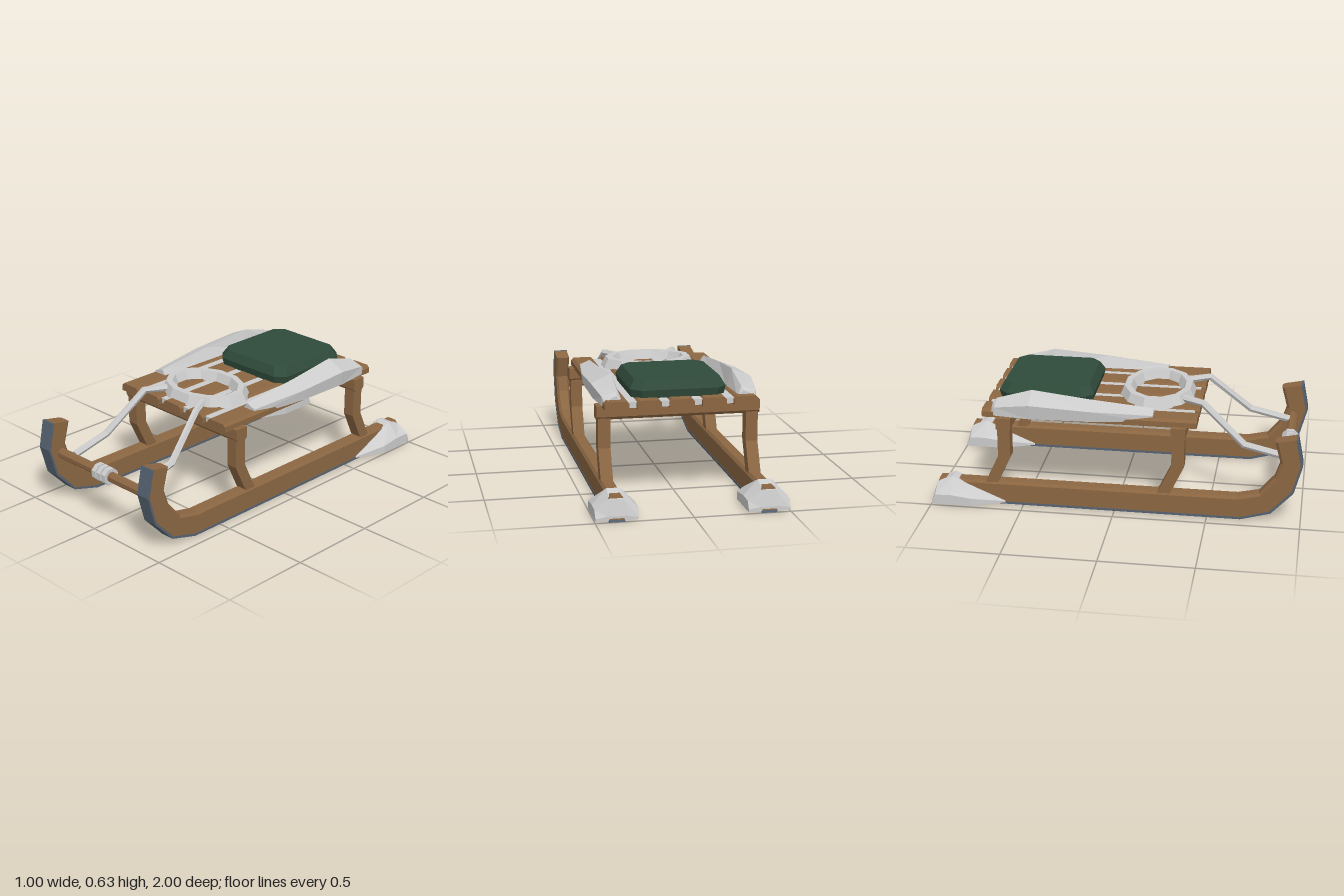
import * as THREE from 'three';

const mat = (color) => new THREE.MeshStandardMaterial({ color, flatShading: true });
const V = (x, y, z) => new THREE.Vector3(x, y, z);

// Skin a row of equal-length cross-sections; ends are capped unless the row is a closed ring.
function loft(sections, ring = false) {
  const n = sections[0].length, tris = [];
  const rows = ring ? sections.length : sections.length - 1;
  for (let i = 0; i < rows; i++) {
    const a = sections[i], b = sections[(i + 1) % sections.length];
    for (let j = 0; j < n; j++) {
      const k = (j + 1) % n;
      tris.push([a[j], b[j], b[k]], [a[j], b[k], a[k]]);
    }
  }
  if (!ring) {
    const a = sections[0], b = sections[sections.length - 1];
    for (let j = 1; j < n - 1; j++) tris.push([a[0], a[j], a[j + 1]], [b[0], b[j + 1], b[j]]);
  }
  // Turn the faces outward, whichever way the sections run
  const origin = sections[0][0];
  let volume = 0;
  for (const [p, q, r] of tris) {
    volume += p.clone().sub(origin).dot(q.clone().sub(origin).cross(r.clone().sub(origin)));
  }
  const pts = tris.flatMap(([p, q, r]) => (volume < 0 ? [p, r, q] : [p, q, r]));
  const geo = new THREE.BufferGeometry().setFromPoints(pts);
  geo.computeVertexNormals();
  return geo;
}

// Six-sided bar along a polyline, mitred at the bends
function bar(points, radius) {
  return loft(points.map((p, i) => {
    const dir = points[Math.min(i + 1, points.length - 1)].clone()
      .sub(points[Math.max(i - 1, 0)]).normalize();
    const side = V(0, 1, 0).cross(dir).normalize();
    const up = dir.clone().cross(side);
    return Array.from({ length: 6 }, (_, j) => {
      const a = (j * Math.PI) / 3;
      return p.clone().addScaledVector(side, radius * Math.cos(a)).addScaledVector(up, radius * Math.sin(a));
    });
  }));
}

// Octagonal outline with cut corners, lying flat
const cutRect = (hx, hz, c, y, zc) => [
  [hx, hz - c], [hx - c, hz], [c - hx, hz], [-hx, hz - c],
  [-hx, c - hz], [c - hx, -hz], [hx - c, -hz], [hx, c - hz],
].map(([x, z]) => V(x, y, zc + z));

export function createModel() {
  const sled = new THREE.Group();
  sled.name = 'sled';
  const wood = mat(0x8b6642), metal = mat(0xcccccc), steel = mat(0x566371), fabric = mat(0x2f4a3a);
  const add = (name, geo, material) => {
    const mesh = new THREE.Mesh(geo, material);
    mesh.name = name;
    sled.add(mesh);
    return mesh;
  };

  // Runner path: outer z, y and inner z, y
  const path = [
    [-1, 0, -0.965, 0.13], [0.68, 0, 0.66, 0.13], [0.84, 0.045, 0.775, 0.155],
    [0.957, 0.17, 0.855, 0.25], [1, 0.33, 0.882, 0.335], [0.97, 0.48, 0.85, 0.455],
  ];
  const across = (s, [oz, oy, iz, iy], list) =>
    list.map(([x, t]) => V(s * 0.39 + x, oy + (iy - oy) * t, oz + (iz - oz) * t));

  for (const s of [1, -1]) {
    const side = s > 0 ? 'left' : 'right';

    // Curved runner with chamfered inner edge, and its steel sole
    add(side + 'Runner', loft(path.map((p) => across(s, p,
      [[-0.038, 0.09], [0.038, 0.09], [0.038, 0.88], [0.026, 1], [-0.026, 1], [-0.038, 0.88]]))), wood);
    add(side + 'RunnerSole', loft(path.map((p) => across(s, p,
      [[-0.04, 0], [0.04, 0], [0.04, 0.1], [-0.04, 0.1]]))), steel);

    // Bent legs
    for (const z of [0.34, -0.6]) {
      const rows = [[0.45, 0], [0.28, 0], [0.11, -0.08]];
      add(side + (z > 0 ? 'Front' : 'Rear') + 'Leg', loft(rows.map(([y, dz]) =>
        [[-1, -1], [1, -1], [1, 1], [-1, 1]].map(([a, b]) =>
          V(s * 0.39 + a * 0.032, y, z + dz + b * 0.034)))), wood);
    }

    // Faceted guard on the tail of the runner: z, half width, shoulder y, top half width, top y
    const guard = [
      [-0.6, 0.04, 0.014, 0.038, 0.018], [-0.77, 0.11, 0.05, 0.045, 0.09],
      [-0.89, 0.11, 0.065, 0.035, 0.145], [-0.975, 0.11, 0.062, 0.035, 0.112],
      [-0.995, 0.108, 0.02, 0.05, 0.03],
    ];
    add(side + 'RunnerGuard', loft(guard.map(([z, w, y, tw, ty]) =>
      [[-w, 0.008], [w, 0.008], [w, y], [tw, ty], [-tw, ty], [-w, y]]
        .map(([x, h]) => V(s * 0.39 + x, h, z)))), metal);

    // Side rail shell: z, then outer bottom, outer top, inner top, inner bottom
    const shell = [
      [0.2, [0.385, 0.515], [0.385, 0.55], [0.33, 0.572], [0.305, 0.535]],
      [-0.15, [0.42, 0.51], [0.428, 0.57], [0.335, 0.605], [0.298, 0.535]],
      [-0.46, [0.42, 0.505], [0.43, 0.585], [0.322, 0.635], [0.295, 0.535]],
      [-0.65, [0.405, 0.508], [0.405, 0.555], [0.325, 0.58], [0.302, 0.535]],
      [-0.672, [0.395, 0.512], [0.395, 0.53], [0.335, 0.56], [0.31, 0.535]],
    ];
    add(side + 'SideGuard', loft(shell.map(([z, ...pts]) => pts.map(([x, y]) => V(s * x, y, z)))), metal);

    // Steering stay from the ring to the front bar
    add(side + 'SteeringStay', bar([
      V(s * 0.14, 0.562, 0.34), V(s * 0.2, 0.562, 0.45),
      V(s * 0.258, 0.36, 0.68), V(s * 0.26, 0.308, 0.9),
    ], 0.02), metal);
  }

  // Cross beams with chamfered undersides
  for (const z of [0.34, -0.6]) {
    add(z > 0 ? 'frontBeam' : 'rearBeam', loft([-0.43, 0.43].map((x) =>
      [[-0.04, 0.502], [0.04, 0.502], [0.04, 0.445], [0.028, 0.43], [-0.028, 0.43], [-0.04, 0.445]]
        .map(([dz, y]) => V(x, y, z + dz)))), wood);
  }

  // Deck slats with chamfered tops
  for (const x of [-0.337, -0.17, 0, 0.17, 0.337]) {
    add('deckSlat', loft([-0.72, 0.435].map((z) =>
      [[-0.064, 0.497], [0.064, 0.497], [0.064, 0.527], [0.05, 0.541], [-0.05, 0.541], [-0.064, 0.527]]
        .map(([dx, y]) => V(x + dx, y, z)))), wood);
  }

  // Metal strips between the slats
  for (const x of [-0.254, -0.086, 0.086, 0.254]) {
    add('deckStrip', new THREE.BoxGeometry(0.046, 0.03, 1.11), metal).position.set(x, 0.517, -0.145);
  }

  // Cushion
  add('seatCushion', loft([
    cutRect(0.245, 0.252, 0.05, 0.538, -0.405), cutRect(0.252, 0.26, 0.05, 0.58, -0.405),
    cutRect(0.225, 0.233, 0.05, 0.628, -0.405),
  ]), fabric);

  // Oval steering ring
  const profile = [[0.26, 0.205, 0.535], [0.235, 0.182, 0.588], [0.2, 0.148, 0.588], [0.178, 0.125, 0.535]];
  add('steeringRing', loft(Array.from({ length: 12 }, (_, i) => {
    const a = ((i + 0.5) * Math.PI) / 6, k = 1.03;
    return profile.map(([rx, rz, y]) => V(rx * k * Math.cos(a), y, 0.185 + rz * k * Math.sin(a)));
  }), true), metal);

  // Front bar and its three bands
  const rod = (name, r, length, x, material) => {
    const mesh = add(name, new THREE.CylinderGeometry(r, r, length, 8).rotateY(Math.PI / 8), material);
    mesh.rotation.z = Math.PI / 2;
    mesh.position.set(x, 0.291, 0.915);
  };
  rod('frontBar', 0.028, 0.74, 0, wood);
  for (const x of [-0.038, 0, 0.038]) rod('frontBarBand', 0.048, 0.028, x, metal);

  return sled;
}
